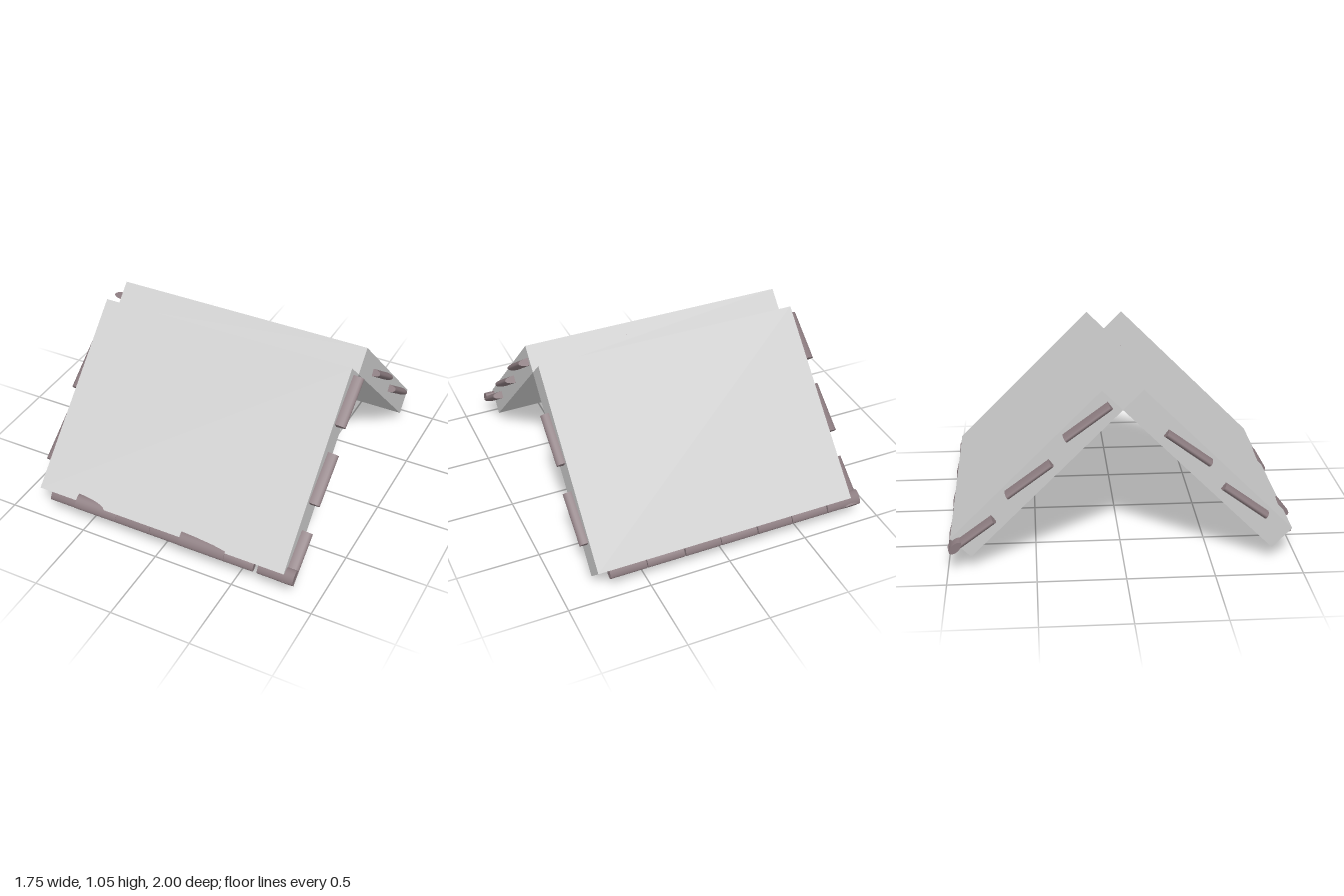
import * as THREE from 'three';

const grey = new THREE.MeshStandardMaterial({ color: 0xcccccc });
const brown = new THREE.MeshStandardMaterial({ color: 0x8a7a7e });

const WIDTH = 1.62, LENGTH = 1.216, THICK = 0.163;

// Box given by its minimum and maximum corners
function box(name, [x0, y0, z0], [x1, y1, z1]) {
  const mesh = new THREE.Mesh(new THREE.BoxGeometry(x1 - x0, y1 - y0, z1 - z0), grey);
  mesh.position.set((x0 + x1) / 2, (y0 + y1) / 2, (z0 + z1) / 2);
  mesh.name = name;
  return mesh;
}

// Flattened log lying along z: halfWidth across x, thin in y
function log(name, length, halfWidth) {
  const geo = new THREE.CylinderGeometry(1, 1, length, 24);
  geo.rotateX(Math.PI / 2);
  geo.scale(halfWidth, 0.023, 1);
  const mesh = new THREE.Mesh(geo, brown);
  mesh.name = name;
  return mesh;
}

// One sloping half: local z runs down the slope, local y points out of the roof
function roofHalf(name, eaveLogs) {
  const half = new THREE.Group();
  half.name = name;
  half.add(box('roofSlab', [-WIDTH / 2, 0, 0], [WIDTH / 2, THICK, LENGTH]));
  half.add(box('rib', [-0.087, -0.105, 0.07], [0.087, 0, LENGTH]));

  // Logs set into the two gable edges: three on one side, two on the other
  const gables = [
    { side: 1, reach: 0.062, spots: [0.18, 0.643, 1.107] },
    { side: -1, reach: 0.048, spots: [0.42, 0.884] },
  ];
  for (const { side, reach, spots } of gables) {
    for (const z of spots) {
      const piece = log('gableLog', 0.31, reach);
      piece.position.set(side * WIDTH / 2, 0.096, z);
      piece.rotation.x = -0.15;
      half.add(piece);
    }
  }

  // Row of logs along the eave: [x, length, tilt, y]
  for (const [x, length, tilt, y] of eaveLogs) {
    const holder = new THREE.Group();
    const piece = log('eaveLog', length, 0.045);
    piece.rotation.y = Math.PI / 2;
    holder.add(piece);
    holder.position.set(x, y, LENGTH);
    holder.rotation.z = tilt;
    holder.name = 'eaveLogHolder';
    half.add(holder);
  }

  half.rotation.x = Math.PI / 4;
  return half;
}

export function createModel() {
  const model = new THREE.Group();
  model.name = 'gableRoof';

  const frontRow = [
    [-0.635, 0.19, 0, 0.13], [-0.415, 0.27, -0.1, 0.145], [-0.165, 0.23, 0, 0.13],
    [0.06, 0.225, 0, 0.125], [0.295, 0.29, -0.03, 0.145], [0.525, 0.19, -0.08, 0.13],
    [0.76, 0.22, 0, 0.13],
  ];
  const backRow = [];
  for (let i = 0; i < 7; i++) backRow.push([-0.63 + i * 0.232, 0.225, i % 2 ? 0.05 : -0.04, 0.125]);

  const front = roofHalf('frontRoof', frontRow);
  // Log buried in the ridge end, with only its tip showing
  const ridge = log('ridgeLog', 0.22, 0.045);
  ridge.position.set(0.3, 0.09, 0.051);
  ridge.rotation.y = Math.PI / 2 - 0.06;
  front.add(ridge);

  const back = new THREE.Group();
  back.name = 'backHalf';
  back.add(roofHalf('backRoof', backRow));
  back.rotation.y = Math.PI;

  for (const half of [front, back]) {
    half.position.set(0, 0.935, -0.008);
    model.add(half);
  }
  return model;
}
